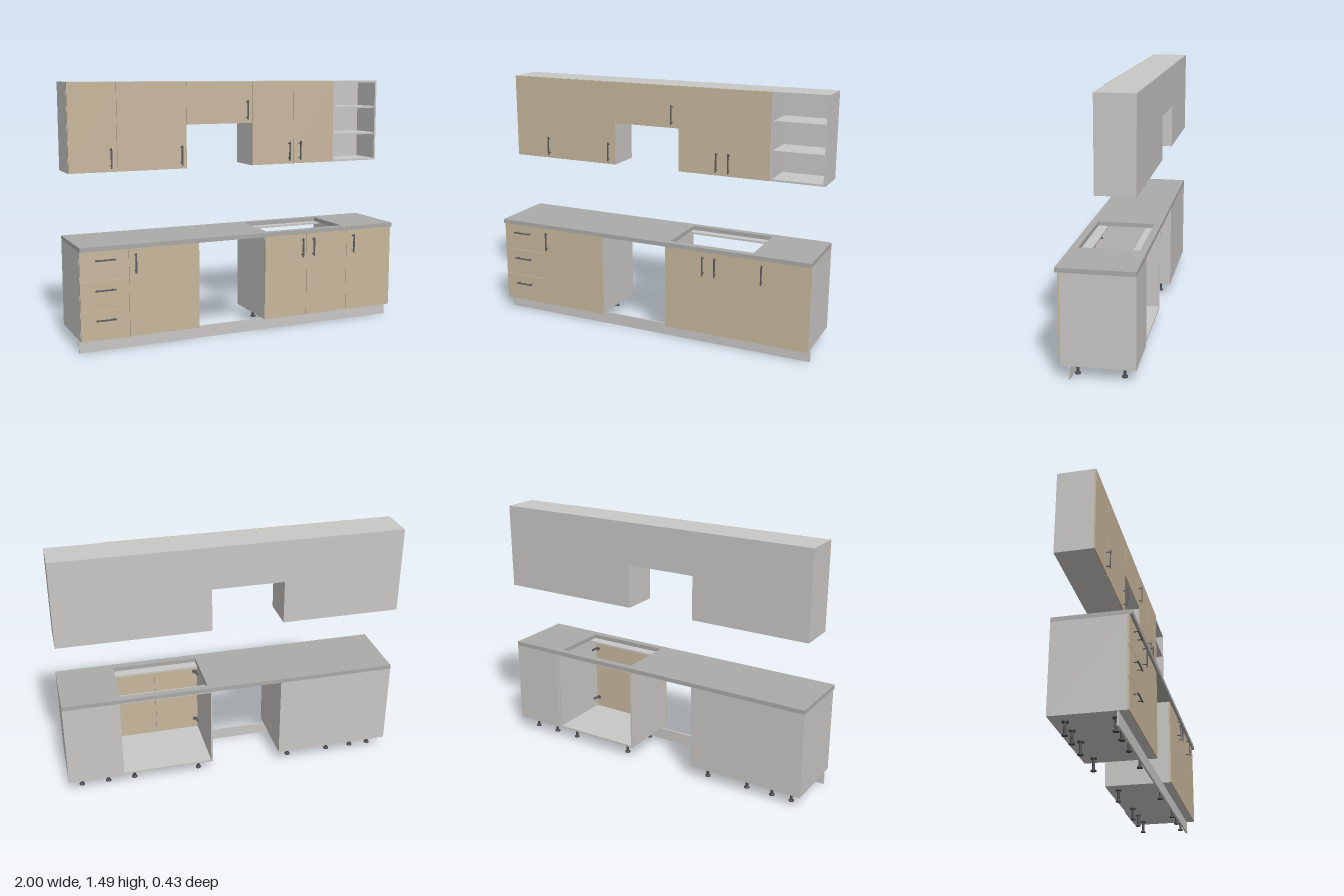
import * as THREE from 'three';

const mat = (name, color) => {
  const m = new THREE.MeshStandardMaterial({ color });
  m.name = name;
  return m;
};

export function createModel() {
  const root = new THREE.Group();
  root.name = 'kitchenUnits';
  const panelGrey = mat('panelGrey', 0xc8c7c5);
  const stoneGrey = mat('worktopGrey', 0xabaaa8);
  const wood = mat('woodFront', 0xc8b79d);
  const steel = mat('handleSteel', 0x5c5d62);
  const dark = mat('legDark', 0x48484a);

  const add = (parent, name, geometry, material, x, y, z) => {
    const mesh = new THREE.Mesh(geometry, material);
    mesh.name = name;
    mesh.position.set(x, y, z);
    parent.add(mesh);
    return mesh;
  };
  // Box given by its limits on each axis
  const box = (parent, name, material, x0, x1, y0, y1, z0, z1) =>
    add(parent, name, new THREE.BoxGeometry(x1 - x0, y1 - y0, z1 - z0), material,
      (x0 + x1) / 2, (y0 + y1) / 2, (z0 + z1) / 2);
  const group = (name) => {
    const g = new THREE.Group();
    g.name = name;
    root.add(g);
    return g;
  };

  const T = 0.011; // board thickness
  const BACK = -0.215;

  // Hollow carcass of boards; an open one has two top rails and no back
  function carcass(name, x0, x1, y0, y1, zFront, open = false) {
    const g = group(name);
    const zb = BACK + 0.008;
    box(g, 'sideRight', panelGrey, x0, x0 + T, y0, y1, zb, zFront);
    box(g, 'sideLeft', panelGrey, x1 - T, x1, y0, y1, zb, zFront);
    box(g, 'bottom', panelGrey, x0 + T, x1 - T, y0, y0 + T, zb, zFront);
    if (open) {
      box(g, 'frontRail', panelGrey, x0 + T, x1 - T, y1 - T, y1, zFront - 0.08, zFront);
      box(g, 'backRail', panelGrey, x0 + T, x1 - T, y1 - T, y1, zb, zb + 0.08);
    } else {
      box(g, 'top', panelGrey, x0 + T, x1 - T, y1 - T, y1, zb, zFront);
      box(g, 'back', panelGrey, x0, x1, y0, y1, BACK, zb);
    }
    return g;
  }

  // Bar handle on two posts, mounted on the plane z
  function handle(x, y, z, horizontal = false) {
    const g = group('handle');
    box(g, 'bar', steel, -0.004, 0.004, -0.058, 0.058, 0.021, 0.027);
    for (const s of [-1, 1]) {
      const post = add(g, 'post', new THREE.CylinderGeometry(0.003, 0.003, 0.022, 12), steel, 0, s * 0.045, 0.011);
      post.rotation.x = Math.PI / 2;
    }
    g.position.set(x, y, z);
    if (horizontal) g.rotation.z = Math.PI / 2;
  }

  const GAP = 0.001;
  const front = (name, x0, x1, y0, y1, z0, z1) =>
    box(root, name, wood, x0 + GAP, x1 - GAP, y0 + GAP, y1 - GAP, z0, z1);

  // Base cabinets
  const Y0 = 0.075, Y1 = 0.58, ZF = 0.18, ZD = 0.189;
  const bases = [[-1, -0.72], [-0.72, -0.30], [0.12, 0.68], [0.68, 1]];
  bases.forEach(([x0, x1], i) => carcass('baseCabinet', x0, x1, Y0, Y1, ZF, i === 2));

  // Drawers and base doors
  const dh = (Y1 - Y0) / 3;
  for (let i = 0; i < 3; i++) {
    front('drawerFront', -1, -0.72, Y0 + i * dh, Y0 + (i + 1) * dh, ZF, ZD);
    handle(-0.86, Y0 + (i + 1) * dh - 0.051, ZD, true);
  }
  for (const [x0, x1, hx] of [[-0.72, -0.30, -0.685], [0.12, 0.40, 0.365], [0.40, 0.68, 0.44], [0.68, 1, 0.72]]) {
    front('baseDoor', x0, x1, Y0, Y1, ZF, ZD);
    handle(hx, 0.497, ZD);
  }

  // Hinges inside the open sink cabinet
  for (const [x, s] of [[0.12 + T, 1], [0.68 - T, -1]]) {
    for (const y of [0.15, 0.50]) {
      const cup = add(root, 'hingeCup', new THREE.CylinderGeometry(0.012, 0.012, 0.006, 16), steel, x + s * 0.018, y, ZF - 0.003);
      cup.rotation.x = Math.PI / 2;
      box(root, 'hingeArm', steel, x + s * 0.006 - 0.006, x + s * 0.006 + 0.006, y - 0.005, y + 0.005, ZF - 0.045, ZF);
    }
  }

  // Adjustable legs, four under each base cabinet
  const legProfile = [[0, 0], [0.016, 0], [0.016, 0.006], [0.008, 0.012], [0.008, 0.066], [0.018, 0.068], [0.018, 0.075], [0, 0.075]]
    .map(([r, y]) => new THREE.Vector2(r, y));
  const legGeometry = new THREE.LatheGeometry(legProfile, 16).toNonIndexed();
  legGeometry.computeVertexNormals();
  for (const [x0, x1] of bases)
    for (const x of [x0 + 0.08, x1 - 0.08])
      for (const z of [0.108, -0.143]) add(root, 'leg', legGeometry, dark, x, 0, z);

  // Plinth board
  box(root, 'plinth', panelGrey, -1, 1, 0, 0.071, 0.13, 0.14);

  // Worktop with the sink cut-out
  const rect = (P, x0, x1, z0, z1) => {
    const p = new P();
    p.moveTo(x0, -z1);
    p.lineTo(x1, -z1);
    p.lineTo(x1, -z0);
    p.lineTo(x0, -z0);
    p.closePath();
    return p;
  };
  const top = rect(THREE.Shape, -1, 1, BACK, 0.203);
  top.holes.push(rect(THREE.Path, 0.145, 0.655, -0.175, 0.16));
  const topGeometry = new THREE.ExtrudeGeometry(top, { depth: 0.025, bevelEnabled: false });
  topGeometry.rotateX(-Math.PI / 2);
  add(root, 'worktop', topGeometry, stoneGrey, 0, Y1, 0);

  // Wall cabinets
  const W0 = 0.985, W1 = 1.488, WF = -0.004, WD = 0.005;
  carcass('wallCabinet', -1, -0.72, W0, W1, WF);
  carcass('wallCabinet', -0.72, -0.30, W0, W1, WF);
  carcass('shortWallCabinet', -0.30, 0.12, 1.24, W1, WF);
  carcass('wallCabinet', 0.12, 0.68, W0, W1, WF);
  for (const [x0, x1, y0, hx] of [
    [-1, -0.72, W0, -0.76], [-0.72, -0.30, W0, -0.337], [-0.30, 0.12, 1.24, 0.082],
    [0.12, 0.40, W0, 0.365], [0.40, 0.68, W0, 0.44]]) {
    front('wallDoor', x0, x1, y0, W1, WF, WD);
    handle(hx, y0 + 0.08, WD);
  }

  // Open shelf unit
  const shelves = carcass('openShelfUnit', 0.68, 1, W0, W1, WF);
  for (const y of [1.155, 1.322])
    box(shelves, 'shelf', panelGrey, 0.68 + T, 1 - T, y - T / 2, y + T / 2, BACK + 0.008, WF - 0.003);

  return root;
}
